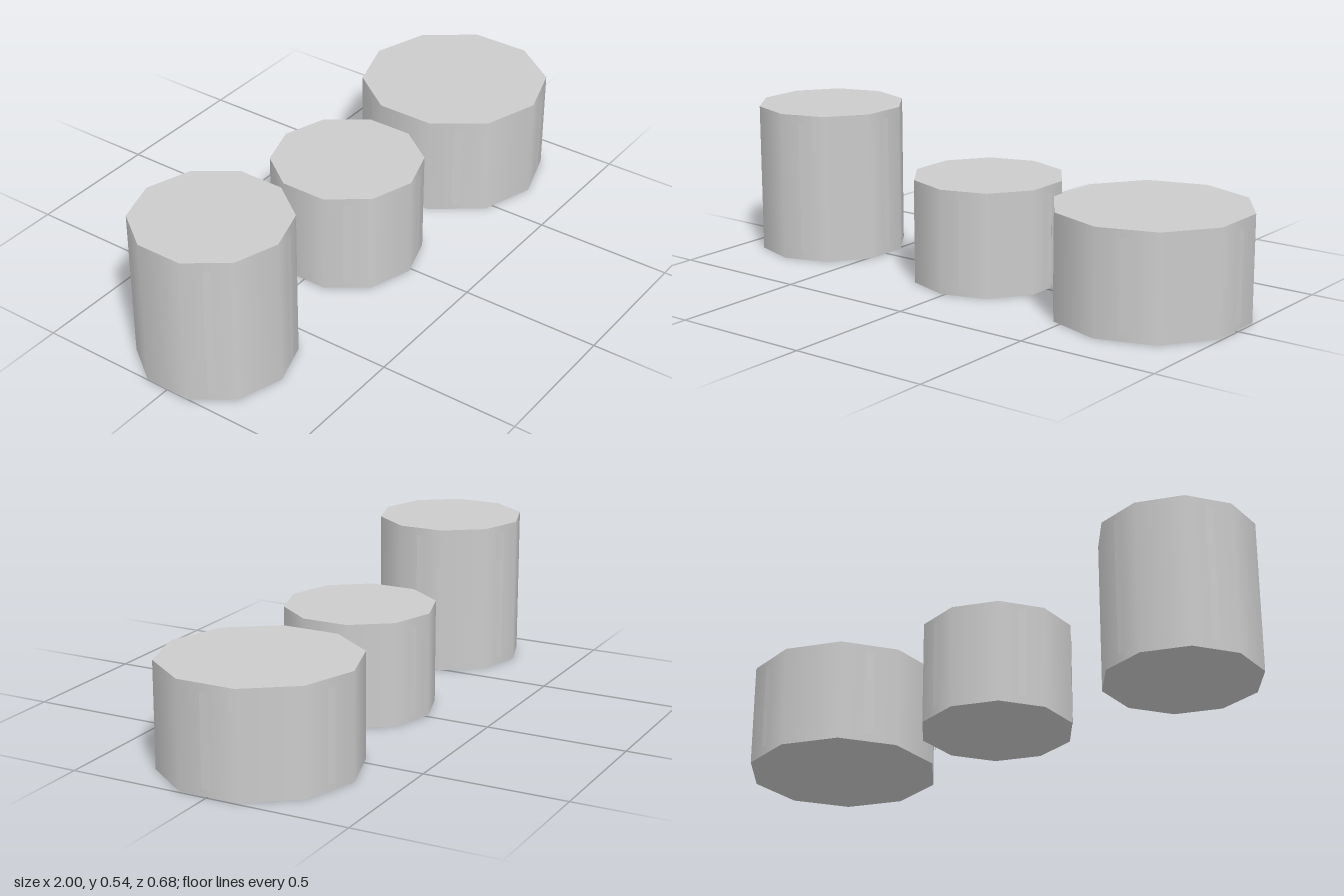
import * as THREE from 'three';

const material = new THREE.MeshStandardMaterial({ color: 0xcccccc });
const stripMaterial = new THREE.MeshStandardMaterial({ color: 0xcccccc, side: THREE.DoubleSide });

// Ten-sided drum with five thin vertical strips floating just off alternate faces
function createDrum(name, x, radius, height) {
  const drum = new THREE.Group();
  drum.name = name;
  drum.position.set(x, height / 2, 0);

  const body = new THREE.Mesh(new THREE.CylinderGeometry(radius, radius, height, 10), material);
  body.name = 'body';
  drum.add(body);

  const stripGeometry = new THREE.PlaneGeometry(radius * 0.102, height - 0.053);
  const stripDistance = radius * 0.972;
  for (let i = 0; i < 5; i++) {
    const angle = Math.PI / 2 + (i * Math.PI * 2) / 5;
    const strip = new THREE.Mesh(stripGeometry, stripMaterial);
    strip.name = 'strip' + (i + 1);
    strip.position.set(Math.sin(angle) * stripDistance, 0, Math.cos(angle) * stripDistance);
    strip.rotation.y = angle;
    drum.add(strip);
  }
  return drum;
}

export function createModel() {
  const model = new THREE.Group();
  model.name = 'drums';
  model.add(
    createDrum('tallDrum', -0.745, 0.268, 0.537),
    createDrum('shortDrum', -0.013, 0.268, 0.369),
    createDrum('wideDrum', 0.667, 0.341, 0.369)
  );
  return model;
}
